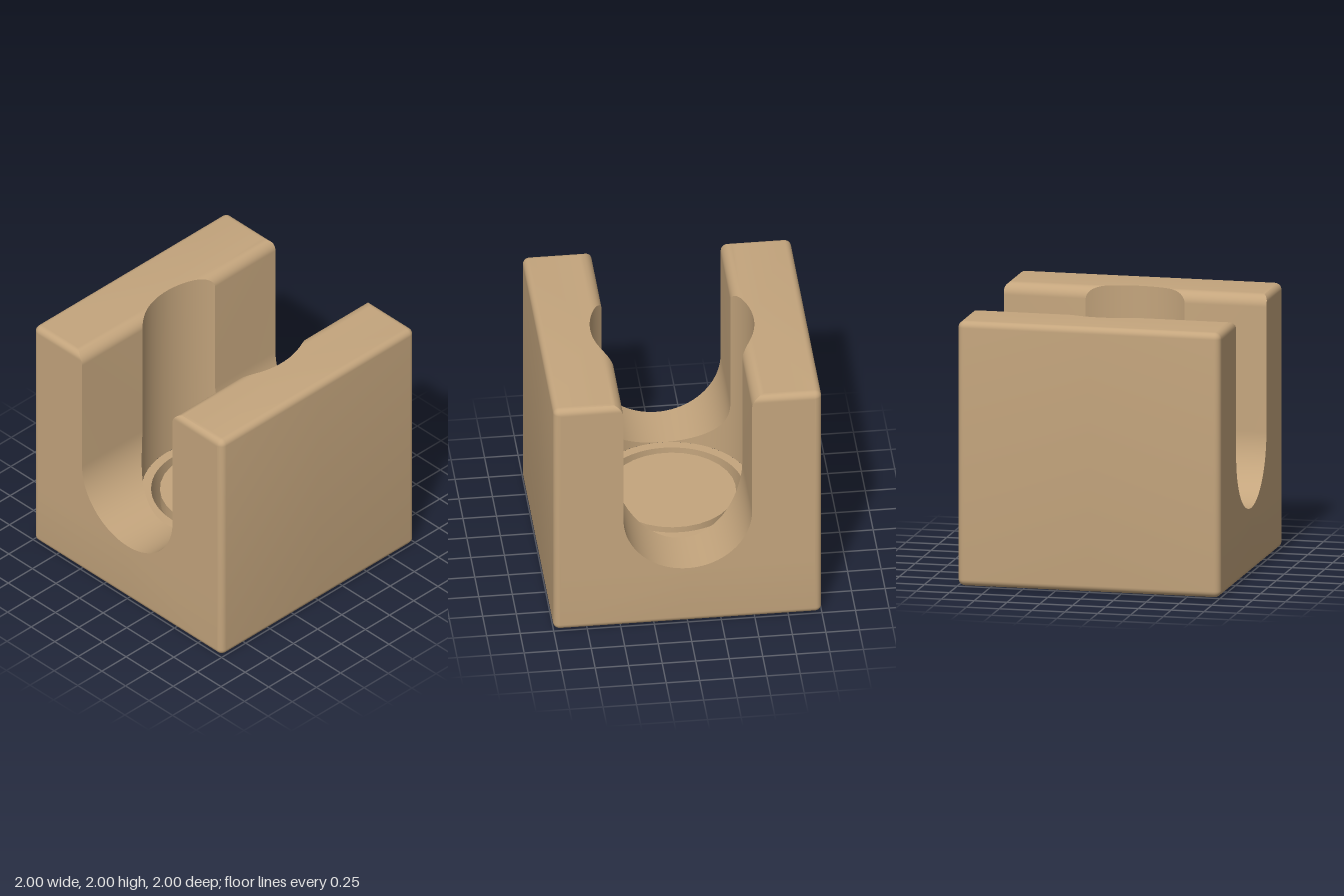
import * as THREE from 'three';
import { toCreasedNormals } from 'three/addons/utils/BufferGeometryUtils.js';

const R = 0.05;                        // rounding of the outer edges
const CH = 0.48, CY = 0.97;            // channel half width, centre height of its round bottom
const FIL = 0.09;                      // rounding of the channel's top edges
const BORE = 0.61, HOLE = 0.54, FLOOR = CY - CH;
const N = 8;                           // steps per rounded edge

// Collects quads for the +x +z quarter and mirrors them into all four quarters.
function quarterBuilder() {
  const pos = [];
  const tri = (a, b, c) => {
    const va = new THREE.Vector3(...a), vb = new THREE.Vector3(...b), vc = new THREE.Vector3(...c);
    if (vb.sub(va).cross(vc.sub(va)).length() < 1e-9) return;
    for (const sx of [1, -1]) for (const sz of [1, -1]) {
      for (const p of sx * sz > 0 ? [a, b, c] : [a, c, b]) pos.push(p[0] * sx, p[1], p[2] * sz);
    }
  };
  return {
    quad(a, b, c, d) { tri(a, b, c); tri(a, c, d); },
    geometry() { return creased(new THREE.BufferGeometry().setAttribute('position', new THREE.Float32BufferAttribute(pos, 3))); },
  };
}

// Creases at a large scale so that small roundings keep their own normals.
function creased(geo) {
  return toCreasedNormals(geo.scale(100, 100, 100), 0.5).scale(0.01, 0.01, 0.01);
}

const filletZ = (inset) => CH + FIL - Math.sqrt(FIL ** 2 - (FIL - inset) ** 2);
const boreX = (z) => Math.sqrt(Math.max(0, BORE ** 2 - z ** 2));
const bevel = (k) => {
  const a = (k / N) * Math.PI / 2;
  return { x: 1 - R + R * Math.sin(a), inset: R * (1 - Math.cos(a)), r: R * Math.cos(a) };
};

// Outer half outline (z, y) from the channel's top edge round to the bottom centre.
function outerPath({ inset, r }) {
  const path = [[filletZ(inset), 2 - inset]];
  for (const [cy, start] of [[2 - R, Math.PI / 2], [R, 0]]) {
    for (let j = 0; j <= N; j++) {
      const t = start - (j / N) * Math.PI / 2;
      path.push([1 - R + r * Math.cos(t), cy + r * Math.sin(t)]);
    }
  }
  path.push([0, inset]);
  return path;
}

// Channel half profile, from its bottom centre up to the flat top: [z, y, xInner, xEnd].
function channelProfile() {
  const rows = [];
  const add = (z, y, end) => rows.push([z, y, boreX(z), end]);
  for (let j = 0; j <= 20; j++) {
    const t = (j / 20) * Math.PI / 2;
    add(CH * Math.sin(t), CY - CH * Math.cos(t), 1);
  }
  const limit = Math.asin((FIL - R) / FIL);
  for (let j = 0; j < 4; j++) {
    const t = (j / 4) * limit;
    add(CH + FIL - FIL * Math.cos(t), 2 - FIL + FIL * Math.sin(t), 1);
  }
  for (let k = N; k >= 0; k--) {
    const b = bevel(k);
    add(filletZ(b.inset), 2 - b.inset, b.x);
  }
  return rows;
}

export function createModel() {
  const group = new THREE.Group();
  const tan = new THREE.MeshStandardMaterial({ color: 0xc4a57d });
  tan.name = 'tan';
  const addMesh = (name, geo) => {
    const mesh = new THREE.Mesh(geo, tan);
    mesh.name = name;
    group.add(mesh);
    return mesh;
  };

  const channel = channelProfile();

  // Top face rows that follow the rim of the bore
  const rim = [];
  const t0 = Math.asin((CH + FIL) / BORE);
  for (let j = 1; j <= 8; j++) {
    const t = t0 + (j / 8) * (Math.PI / 2 - t0);
    rim.push([BORE * Math.sin(t), 2, boreX(BORE * Math.sin(t)), 1 - R]);
  }

  // Outer wall rows, then bottom rows that follow the round hole
  const outer = outerPath(bevel(0)).slice(1, -1).map(([z, y]) => [z, y, 0, 1 - R]);
  for (let j = 0; j <= 16; j++) {
    const t = (j / 16) * Math.PI / 2;
    outer.push([HOLE * Math.cos(t), 0, HOLE * Math.sin(t), 1 - R]);
  }

  // Block: ruled strips from the middle, or the bore, out to the ends
  const block = quarterBuilder();
  const rows = [...channel, ...rim, ...outer];
  for (let j = 0; j < rows.length - 1; j++) {
    const [p, q] = [rows[j], rows[j + 1]];
    block.quad([p[2], p[1], p[0]], [q[2], q[1], q[0]], [q[3], q[1], q[0]], [p[3], p[1], p[0]]);
  }

  // Rounded edges around both ends
  for (let k = 0; k < N; k++) {
    const a = bevel(k), b = bevel(k + 1);
    const pa = outerPath(a), pb = outerPath(b);
    for (let j = 0; j < pa.length - 1; j++) {
      const at = (s, p) => [s.x, p[1], p[0]];
      block.quad(at(a, pa[j]), at(a, pa[j + 1]), at(b, pb[j + 1]), at(b, pb[j]));
    }
  }

  // Flat end faces around the channel
  const edge = 1 - R;
  block.quad([1, R, edge], [1, R, 0], [1, FLOOR, 0], [1, FLOOR, edge]);
  for (let j = 0; j < channel.length - 1; j++) {
    const [p, q] = [channel[j], channel[j + 1]];
    if (q[1] > 2 - R + 1e-6) break;
    block.quad([1, p[1], edge], [1, p[1], p[0]], [1, q[1], q[0]], [1, q[1], edge]);
  }
  addMesh('block', block.geometry());

  // Wide bore wall, cut off by the channel
  const wall = quarterBuilder();
  const cut = [...channel, ...rim];
  for (let j = 0; j < cut.length - 1; j++) {
    const [p, q] = [cut[j], cut[j + 1]];
    wall.quad([p[2], FLOOR, p[0]], [q[2], FLOOR, q[0]], [q[2], q[1], q[0]], [p[2], p[1], p[0]]);
  }
  addMesh('boreWall', wall.geometry());

  // Bore floor and the narrower hole through the bottom
  const profile = [[BORE, FLOOR], [HOLE, FLOOR], [HOLE, 0]].map(([x, y]) => new THREE.Vector2(x, y));
  addMesh('bottomHole', creased(new THREE.LatheGeometry(profile, 64)));

  // Loose disc inside the hole
  const disc = addMesh('centreDisc', new THREE.CylinderGeometry(0.475, 0.475, 0.105, 30));
  disc.position.y = FLOOR - 0.0525;

  return group;
}
